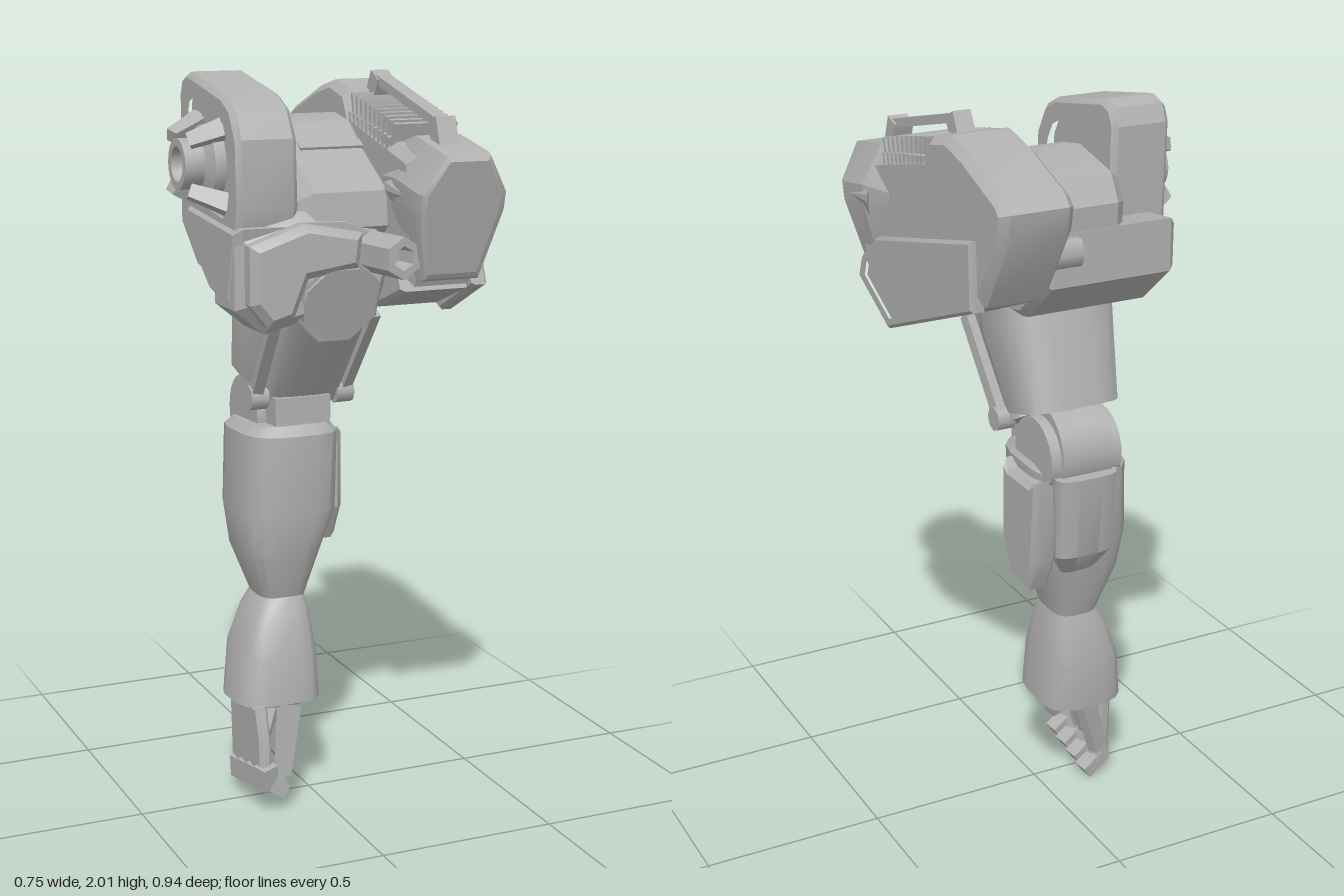
import * as THREE from 'three';
import { toCreasedNormals, mergeVertices } from 'three/addons/utils/BufferGeometryUtils.js';

const armour = new THREE.MeshStandardMaterial({ color: 0xb0b0b0 });
armour.name = 'grey armour';
const V = (x, y, z) => new THREE.Vector3(x, y, z);

export function createModel() {
  const root = new THREE.Group();
  root.name = 'mechanicalArm';

  const add = (name, geo, pos, rot) => {
    const m = new THREE.Mesh(geo, armour);
    m.name = name;
    if (pos) m.position.set(...pos);
    if (rot) m.rotation.set(...rot);
    root.add(m);
    return m;
  };

  // Skin over a stack of rings, closed at both ends
  const loft = (rings, crease = 0.55) => {
    const n = rings[0].length, pos = [], tri = [];
    const push = (a, b, c) => tri.push([a, b, c]);
    for (let i = 0; i + 1 < rings.length; i++)
      for (let j = 0; j < n; j++) {
        const k = (j + 1) % n, A = rings[i], B = rings[i + 1];
        push(A[j], A[k], B[k]);
        push(A[j], B[k], B[j]);
      }
    const F = rings[0], L = rings[rings.length - 1];
    for (let j = 1; j + 1 < n; j++) {
      push(F[0], F[j + 1], F[j]);
      push(L[0], L[j], L[j + 1]);
    }
    let vol = 0;
    for (const [a, b, c] of tri) vol += a.dot(b.clone().cross(c));
    for (const [a, b, c] of tri) for (const p of vol > 0 ? [a, b, c] : [a, c, b]) pos.push(p.x, p.y, p.z);
    const g = new THREE.BufferGeometry();
    g.setAttribute('position', new THREE.Float32BufferAttribute(pos, 3));
    return toCreasedNormals(mergeVertices(g), crease);
  };

  // Limb section: x range, then front and back edge as (z, y)
  const limbRing = ([x0, x1, zf, yf, zb, yb], e = 0.6) => Array.from({ length: 16 }, (_, i) => {
    const a = (i + 0.5) / 16 * Math.PI * 2, c = Math.cos(a), s = Math.sin(a);
    const u = Math.sign(c) * Math.abs(c) ** e, t = (1 - Math.sign(s) * Math.abs(s) ** e) / 2;
    return V((x0 + x1) / 2 + u * (x1 - x0) / 2, yf + (yb - yf) * t, zf + (zb - zf) * t);
  });
  const limb = (name, secs) => add(name, loft(secs.map(s => limbRing(s))));

  // Side profile of (z, y) points, extruded from x0 to x1 with bevelled rims
  const outline = (pts, C = THREE.Shape) => new C(pts.map(([z, y]) => new THREE.Vector2(-z, y)));
  const side = (name, pts, x0, x1, bevel = 0, hole) => {
    const s = outline(pts);
    if (hole) s.holes.push(outline(hole, THREE.Path));
    const g = new THREE.ExtrudeGeometry(s, {
      depth: x1 - x0 - 2 * bevel, bevelEnabled: bevel > 0, bevelThickness: bevel,
      bevelSize: bevel, bevelOffset: -bevel, bevelSegments: 1,
    });
    g.rotateY(Math.PI / 2).translate(x0 + bevel, 0, 0);
    return add(name, toCreasedNormals(g, 0.4));
  };
  const shrink = (pts, k) => {
    const c = pts.reduce((a, p) => [a[0] + p[0] / pts.length, a[1] + p[1] / pts.length], [0, 0]);
    return pts.map(p => [c[0] + (p[0] - c[0]) * k, c[1] + (p[1] - c[1]) * k]);
  };
  const box = (name, w, h, d, pos, rot) => add(name, new THREE.BoxGeometry(w, h, d), pos, rot);

  // Straight tapered bar between two points
  const bar = (name, a, b, w, d, taper = 1) => {
    const p = V(...a), q = V(...b);
    const g = new THREE.CylinderGeometry(Math.SQRT1_2 * taper, Math.SQRT1_2, p.distanceTo(q), 4, 1).toNonIndexed();
    g.rotateY(Math.PI / 4).scale(w, 1, d);
    g.computeVertexNormals();
    const m = add(name, g);
    m.position.copy(p).add(q).multiplyScalar(0.5);
    m.quaternion.setFromUnitVectors(V(0, 1, 0), q.sub(p).normalize());
  };

  // ---- Weapon pod on the left side ----
  side('podBody', [[0.34, 1.8], [0.22, 1.83], [-0.03, 1.89], [-0.06, 1.945], [-0.16, 1.968], [-0.26, 1.945],
    [-0.445, 1.875], [-0.472, 1.845], [-0.46, 1.775], [-0.34, 1.58], [-0.07, 1.47], [0.17, 1.41],
    [0.33, 1.46], [0.37, 1.55]], 0.13, 0.33, 0.022);
  const frame = [[0.365, 1.47], [0.34, 1.535], [0.24, 1.61], [-0.33, 1.75], [-0.335, 1.57], [0.175, 1.375]];
  side('podSideFrame', frame, 0.305, 0.348, 0.008, shrink(frame, 0.87));
  side('podSidePanel', shrink(frame, 0.84), 0.3, 0.342, 0.004);
  side('podKeel', [[0.34, 1.46], [0.3, 1.54], [-0.3, 1.64], [-0.3, 1.57], [0.17, 1.395]], 0.115, 0.31, 0.01);

  // Muzzle: eight-sided rings leaning with the pod
  const muzzleRing = (x0, x1, zt, yt, zb, yb) => [[0.24, 0], [0.76, 0], [1, 0.3], [1, 0.45], [0.8, 1], [0.14, 1], [0, 0.45], [0, 0.3]]
    .map(([u, t]) => V(x0 + (x1 - x0) * u, yt + (yb - yt) * t, zt + (zb - zt) * t));
  add('podMuzzle', loft([
    muzzleRing(0.13, 0.33, 0.17, 1.82, 0.2, 1.56),
    muzzleRing(0.118, 0.362, 0.28, 1.85, 0.28, 1.5),
    muzzleRing(0.113, 0.36, 0.44, 1.82, 0.375, 1.49),
    muzzleRing(0.118, 0.352, 0.465, 1.812, 0.392, 1.497),
    muzzleRing(0.13, 0.335, 0.473, 1.80, 0.4, 1.51)], 0.3));
  for (const s of [-1, 1])
    add('muzzleHorn', loft([
      [V(0.24 + s * 0.09, 1.76, 0.3), V(0.24 + s * 0.09, 1.62, 0.3), V(0.24 + s * 0.12, 1.7, 0.38)],
      [V(0.24 + s * 0.129, 1.73, 0.235), V(0.24 + s * 0.129, 1.7, 0.235), V(0.24 + s * 0.13, 1.71, 0.24)]], 0.1));

  // Cooling slats and carrying handle
  for (let i = 0; i < 10; i++) {
    const t = i / 9;
    box('coolingSlat', 0.18, 0.1, 0.011, [0.23, 1.83 + t * 0.06, 0.215 - t * 0.24], [0.3 - t * 0.5, 0, 0]);
    box('sideSlat', 0.2, 0.07, 0.011, [0.23, 1.81 + t * 0.045, 0.2 - t * 0.22], [0.3 - t * 0.5, 0, 0]);
  }
  bar('handleBar', [0.227, 1.885, 0.33], [0.227, 1.975, -0.03], 0.042, 0.024);
  bar('handleFrontFoot', [0.227, 1.8, 0.36], [0.227, 1.895, 0.325], 0.055, 0.045);
  bar('handleRearFoot', [0.227, 1.92, -0.06], [0.227, 1.985, -0.025], 0.05, 0.05);

  // ---- Shoulder core ----
  side('shoulderCore', [[0.24, 1.71], [0.09, 1.8], [0.0, 1.87], [-0.09, 1.885], [-0.25, 1.85], [-0.29, 1.78],
    [-0.28, 1.62], [-0.18, 1.54], [0.16, 1.54], [0.25, 1.62]], -0.12, 0.15, 0.035);
  box('coreSlot', 0.18, 0.01, 0.035, [0.03, 1.814, 0.07], [0.46, 0, 0]);
  side('coreCollar', [[0.21, 1.66], [-0.29, 1.72], [-0.29, 1.58], [-0.16, 1.47], [0.18, 1.4]], -0.26, 0.12, 0.02);
  add('rearCoupling', new THREE.CylinderGeometry(0.04, 0.04, 0.1, 6), [0.09, 1.68, -0.31], [0, 0, Math.PI / 2]);

  // ---- Hollow housing on the right side, with hub ----
  const shell = [[0.19, 1.925], [0.13, 1.955], [-0.12, 2.0], [-0.165, 1.985], [-0.185, 1.94], [-0.175, 1.67], [-0.13, 1.61],
    [0.17, 1.57], [0.225, 1.61], [0.245, 1.68], [0.235, 1.85]];
  side('housingShell', shell, -0.295, -0.13, 0.014, shrink(shell, 0.74));
  side('housingWall', shrink(shell, 0.8), -0.275, -0.165);
  const ring = new THREE.LatheGeometry([[0.1, 0], [0.1, 0.03], [0.066, 0.045], [0.066, 0.1], [0.045, 0.1], [0.04, 0.03], [0, 0.03]]
    .map(p => new THREE.Vector2(...p)), 20);
  add('hubRing', toCreasedNormals(ring, 0.5), [-0.275, 1.775, 0.015], [0, 0, Math.PI / 2]);
  for (let i = 0; i < 4; i++) {
    const a = Math.PI / 4 + i * Math.PI / 2, c = Math.cos(a), s = Math.sin(a);
    bar('hubFin', [-0.27, 1.775 + s * 0.14, 0.015 + c * 0.14], [-0.365, 1.775 + s * 0.09, 0.015 + c * 0.09], 0.05, 0.05, 0.7);
  }

  // ---- Front shoulder armour ----
  const front = (name, pts, z, depth, bevel) => {
    const g = new THREE.ExtrudeGeometry(new THREE.Shape(pts.map(p => new THREE.Vector2(...p))), {
      depth: depth - 2 * bevel, bevelThickness: bevel, bevelSize: bevel, bevelOffset: -bevel, bevelSegments: 1 });
    return add(name, toCreasedNormals(g, 0.4), [0, 0, z + bevel]);
  };
  front('frontArmour', [[-0.3, 1.61], [-0.14, 1.665], [0.0, 1.66], [0.1, 1.62], [0.13, 1.5], [0.09, 1.39],
    [-0.12, 1.38], [-0.22, 1.355], [-0.3, 1.42]], 0.06, 0.19, 0.025);
  front('frontPlate', [[-0.28, 1.59], [-0.13, 1.64], [0.03, 1.61], [0.02, 1.52], [-0.12, 1.5], [-0.16, 1.4], [-0.23, 1.38], [-0.28, 1.44]],
    0.2, 0.1, 0.02);
  side('underHousingGuard', [[0.25, 1.63], [-0.12, 1.66], [-0.1, 1.55], [0.05, 1.44], [0.2, 1.42]], -0.305, -0.14, 0.02);
  add('socketCap', new THREE.CylinderGeometry(0.108, 0.115, 0.12, 8).rotateY(Math.PI / 8), [-0.02, 1.44, 0.2], [Math.PI / 2 + 0.3, 0, 0]);
  add('socketRim', new THREE.TorusGeometry(0.112, 0.012, 4, 8).rotateZ(Math.PI / 8), [-0.02, 1.427, 0.238], [0.3, 0, 0]);

  // Small hexagonal barrel beside the pod
  const barrel = new THREE.LatheGeometry([[0, -0.08], [0.055, -0.08], [0.055, 0.09], [0.032, 0.09], [0.028, 0.03], [0, 0.03]]
    .map(p => new THREE.Vector2(...p)), 6).toNonIndexed();
  barrel.computeVertexNormals();
  add('hexBarrel', barrel, [0.08, 1.555, 0.305], [Math.PI / 2, 0, -0.15]);

  // ---- Upper arm ----
  limb('upperArmSleeve', [
    [-0.18, 0.13, 0.15, 1.42, -0.13, 1.56],
    [-0.19, 0.135, 0.12, 1.34, -0.155, 1.47],
    [-0.165, 0.115, -0.01, 1.16, -0.222, 1.22],
    [-0.14, 0.09, -0.01, 1.165, -0.2, 1.225]]);
  limb('upperArmFrontPanel', [
    [-0.145, 0.105, 0.215, 1.38, 0.08, 1.47],
    [-0.13, 0.09, 0.01, 1.105, -0.09, 1.17]]);
  for (const s of [-1, 1]) {
    bar('sleeveRail', [-0.025 + s * 0.14, 1.38, 0.165], [-0.025 + s * 0.128, 1.13, -0.015], 0.03, 0.035);
    add('railKnob', new THREE.CylinderGeometry(0.034, 0.034, 0.05, 8), [-0.025 + s * 0.125, 1.138, -0.005], [0, 0, Math.PI / 2]);
  }

  // ---- Elbow ----
  add('elbowDrum', new THREE.CylinderGeometry(0.125, 0.125, 0.15, 24), [-0.035, 1.08, -0.12], [0, 0, Math.PI / 2]);
  for (const s of [-1, 1])
    add('elbowDisc', new THREE.CylinderGeometry(0.105, 0.105, 0.03, 24), [-0.035 + s * 0.09, 1.07, -0.13], [0, 0, Math.PI / 2]);
  box('elbowBlock', 0.16, 0.16, 0.13, [-0.035, 1.06, -0.02]);

  // ---- Forearm ----
  limb('forearm', [
    [-0.165, 0.065, 0.06, 1.065, -0.22, 1.05],
    [-0.188, 0.082, 0.085, 1.04, -0.24, 1.03],
    [-0.203, 0.075, 0.085, 0.82, -0.215, 0.82],
    [-0.19, 0.03, 0.068, 0.7, -0.185, 0.7],
    [-0.135, -0.01, 0.022, 0.56, -0.14, 0.56]]);
  side('forearmSidePlate', [[-0.025, 1.03], [-0.06, 1.01], [-0.18, 1.01], [-0.22, 1.03], [-0.205, 0.79], [-0.16, 0.69], [-0.07, 0.7], [-0.02, 0.8]],
    0.035, 0.112, 0.015).rotation.z = -0.0;
  limb('forearmRearPlate', [
    [-0.12, 0.06, -0.18, 1.035, -0.272, 1.035],
    [-0.12, 0.05, -0.16, 0.8, -0.245, 0.8],
    [-0.09, 0.01, -0.14, 0.73, -0.19, 0.73]]);
  limb('wristGuard', [
    [-0.135, -0.01, 0.025, 0.575, -0.14, 0.575],
    [-0.165, 0.0, 0.05, 0.53, -0.15, 0.53],
    [-0.205, 0.014, 0.083, 0.42, -0.17, 0.42],
    [-0.225, 0.02, 0.095, 0.285, -0.155, 0.27],
    [-0.2, -0.005, 0.075, 0.275, -0.135, 0.265]]);

  // ---- Hand: back plate, tendons, thumb and four curled fingers ----
  side('handBack', [[0.1, 0.29], [0.13, 0.2], [0.135, 0.1], [-0.085, 0.07], [-0.1, 0.29]], -0.2, -0.165, 0.008);
  bar('thumb', [-0.095, 0.28, 0.085], [-0.135, 0.1, 0.135], 0.06, 0.04, 0.7);
  bar('palmEdge', [-0.11, 0.26, -0.1], [-0.165, 0.09, -0.085], 0.06, 0.03);
  for (const z of [-0.045, 0.0, 0.035]) bar('tendon', [-0.1, 0.28, z * 0.6 - 0.01], [-0.165, 0.1, z], 0.02, 0.018);
  for (let i = 0; i < 4; i++) {
    const z = 0.118 - i * 0.061, y = 0.04 - i * 0.012;
    bar('fingerBase', [-0.183, y + 0.09, z + 0.01], [-0.176, y + 0.025, z], 0.045, 0.048);
    bar('fingerTip', [-0.183, y + 0.045, z], [-0.125, y - 0.005 + 0.01, z - 0.004], 0.04, 0.046);
  }
  return root;
}
